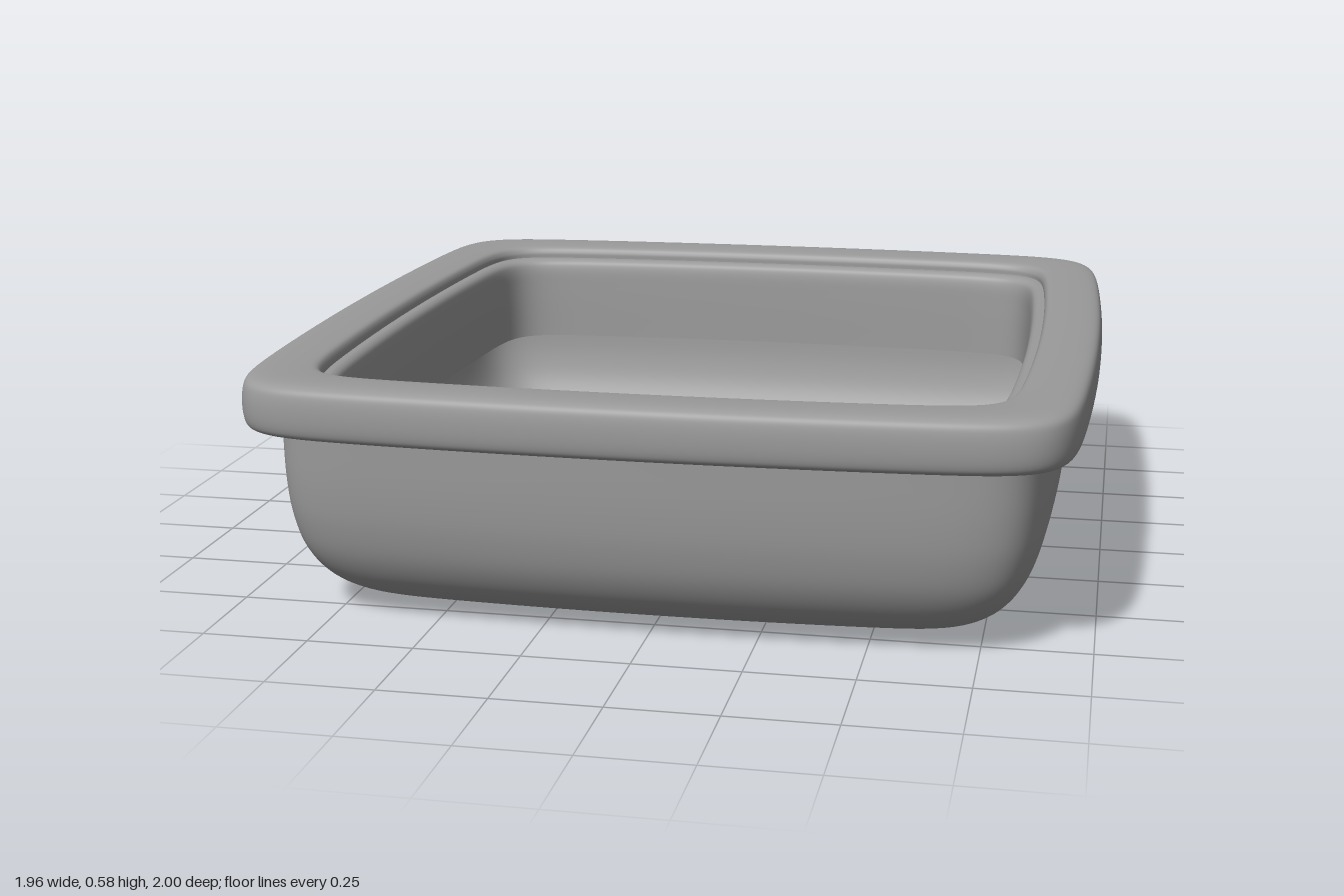
import * as THREE from 'three';

const SEGMENTS = 160;
const DEPTH_EXTRA = 0.022; // the tray is slightly deeper (z) than wide (x)
const POWER = 14;          // tightness of the plan's corners
const BOW = 0.04;          // how far the sides bow outwards

// Unit rounded square with bowed sides; t runs 0..1 and is denser at the corners.
function outline(t) {
  const even = t * Math.PI * 2;
  const angle = even + 0.175 * Math.sin(4 * even);
  const c = Math.cos(angle), s = Math.sin(angle);
  const r = Math.pow(Math.abs(c) ** POWER + Math.abs(s) ** POWER, -1 / POWER);
  const x = c * r, z = s * r;
  return [x * (1 - BOW * z * z), z * (1 - BOW * x * x)];
}

// Sweep a smooth profile of [half width, height] points around the rounded square.
function sweep(name, points, steps, material) {
  const curve = new THREE.CatmullRomCurve3(
    points.map(([r, y]) => new THREE.Vector3(r, y, 0)), false, 'centripetal');
  const positions = [], indices = [];
  for (let i = 0; i <= steps; i++) {
    const p = curve.getPoint(i / steps);
    for (let j = 0; j < SEGMENTS; j++) {
      const [x, z] = outline(j / SEGMENTS);
      positions.push(x * p.x, p.y, z * (p.x + DEPTH_EXTRA));
      if (i < steps) {
        const k = (j + 1) % SEGMENTS;
        const a = i * SEGMENTS + j, b = i * SEGMENTS + k;
        indices.push(a, a + SEGMENTS, b, b, a + SEGMENTS, b + SEGMENTS);
      }
    }
  }
  const geometry = new THREE.BufferGeometry();
  geometry.setAttribute('position', new THREE.Float32BufferAttribute(positions, 3));
  geometry.setIndex(indices);
  geometry.computeVertexNormals();
  const mesh = new THREE.Mesh(geometry, material);
  mesh.name = name;
  return mesh;
}

export function createModel() {
  const group = new THREE.Group();
  group.name = 'squareTray';
  const material = new THREE.MeshStandardMaterial({ color: 0x9a9a9a, side: THREE.DoubleSide });

  // Bowl: from the square hole in the floor, round the bottom edge and up the wall
  group.add(sweep('bowl', [
    [0.44, 0], [0.58, 0.002], [0.69, 0.014], [0.77, 0.04], [0.83, 0.085],
    [0.872, 0.15], [0.895, 0.23], [0.905, 0.32], [0.908, 0.46],
  ], 40, material));

  // Rim: rounded band overhanging the wall
  group.add(sweep('rim', [
    [0.905, 0.455], [0.95, 0.455], [0.97, 0.464], [0.978, 0.485], [0.978, 0.545],
    [0.97, 0.57], [0.948, 0.58], [0.86, 0.58], [0.838, 0.575], [0.83, 0.562], [0.829, 0.548],
  ], 60, material));

  // Inner wall: small ledge below the rim, then a skirt hanging inside the bowl
  group.add(sweep('innerWall', [
    [0.829, 0.548], [0.813, 0.546], [0.802, 0.538], [0.796, 0.52],
    [0.792, 0.46], [0.788, 0.32],
  ], 30, material));

  return group;
}
